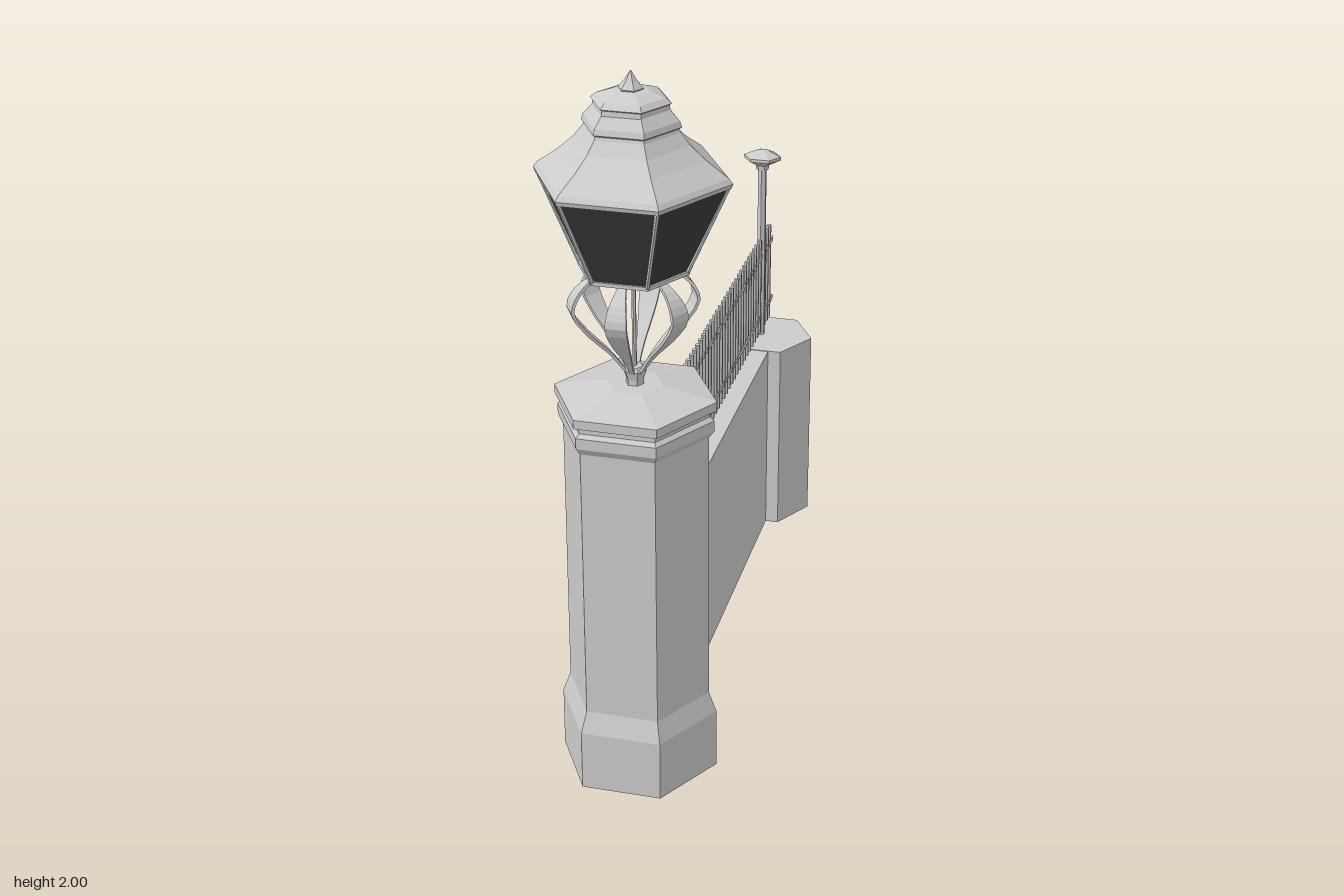
import * as THREE from 'three';

const grey = new THREE.MeshStandardMaterial({ color: 0xcccccc, flatShading: true, side: THREE.DoubleSide });
const glass = new THREE.MeshStandardMaterial({ color: 0x3a3a3a, flatShading: true, side: THREE.DoubleSide });

const PILLAR_Z = 0.71;
const POST_Z = -0.78;

function add(parent, name, geometry, material = grey, x = 0, y = 0, z = 0) {
  const mesh = new THREE.Mesh(geometry, material);
  mesh.name = name;
  mesh.position.set(x, y, z);
  parent.add(mesh);
  return mesh;
}

// Six-sided turned solid with corners on the x axis; profile is [radius, y] from bottom to top
function hexLathe(profile) {
  return new THREE.LatheGeometry(profile.map(([r, y]) => new THREE.Vector2(r, y)), 6, Math.PI / 6, Math.PI * 2);
}

// Straight bar between two points
function bar(parent, name, a, b, radius) {
  const dir = b.clone().sub(a);
  const mesh = add(parent, name, new THREE.CylinderGeometry(radius, radius, dir.length(), 6));
  mesh.position.copy(a).add(b).multiplyScalar(0.5);
  mesh.quaternion.setFromUnitVectors(new THREE.Vector3(0, 1, 0), dir.normalize());
}

// Bowed strap that swells in the middle, bent from a subdivided box
function strapGeometry() {
  const path = new THREE.CatmullRomCurve3([
    [0.022, 1.19], [0.065, 1.25], [0.125, 1.315], [0.165, 1.38], [0.148, 1.425], [0.105, 1.46], [0.05, 1.478],
  ].map(([r, y]) => new THREE.Vector3(0, y, r)));
  const geo = new THREE.BoxGeometry(1, 1, 1, 1, 16, 1);
  const pos = geo.attributes.position;
  for (let i = 0; i < pos.count; i++) {
    const t = pos.getY(i) + 0.5;
    const p = path.getPoint(t);
    const tan = path.getTangent(t);
    const width = 0.012 + 0.044 * Math.sin(Math.PI * t) ** 2;
    const depth = pos.getZ(i) * 0.008;
    pos.setXYZ(i, pos.getX(i) * width, p.y - tan.z * depth, p.z + tan.y * depth);
  }
  geo.computeVertexNormals();
  return geo;
}

function createLantern() {
  const lantern = new THREE.Group();
  lantern.name = 'lantern';

  // Stem and bowed supports
  add(lantern, 'neck', hexLathe([[0, 1.15], [0.024, 1.15], [0.024, 1.17], [0.032, 1.195], [0.022, 1.205], [0, 1.205]]));
  add(lantern, 'stem', new THREE.CylinderGeometry(0.006, 0.006, 0.29, 6), grey, 0, 1.335, 0);
  const strap = strapGeometry();
  for (let i = 0; i < 6; i++) add(lantern, 'support', strap, grey).rotation.y = i * Math.PI / 3;

  // Glazed body with floor and corner bars
  add(lantern, 'floor', hexLathe([[0, 1.474], [0.148, 1.474], [0.148, 1.484], [0, 1.484]]));
  add(lantern, 'glass', hexLathe([[0.141, 1.484], [0.248, 1.718]]), glass);
  for (let i = 0; i < 6; i++) {
    const a = i * Math.PI / 3;
    const corner = (r, y) => new THREE.Vector3(r * Math.cos(a), y, r * Math.sin(a));
    bar(lantern, 'cornerBar', corner(0.142, 1.48), corner(0.247, 1.718), 0.006);
  }

  // Tiered roof with a pointed finial
  add(lantern, 'roof', hexLathe([
    [0, 1.715], [0.254, 1.715], [0.258, 1.727], [0.248, 1.74], [0.19, 1.782], [0.15, 1.818], [0.125, 1.85],
    [0.122, 1.858], [0.129, 1.863], [0.124, 1.878], [0.1, 1.905], [0.098, 1.918],
    [0.104, 1.922], [0.09, 1.935], [0.05, 1.949], [0.026, 1.952],
  ]));
  add(lantern, 'finial', hexLathe([[0.026, 1.945], [0.033, 1.955], [0.018, 1.972], [0, 2.0]]));
  return lantern;
}

function createFence() {
  const fence = new THREE.Group();
  fence.name = 'fence';

  for (const y of [0.695, 0.905]) add(fence, 'rail', new THREE.BoxGeometry(0.012, 0.016, 1.48), grey, 0, y, -0.19);

  // Evenly spaced pickets, leaving room for the tall post
  const picket = new THREE.CylinderGeometry(0.008, 0.008, 0.325, 6);
  for (let i = 0; i <= 40; i++) {
    const z = 0.51 - i * 0.035;
    if (Math.abs(z - POST_Z) > 0.025) add(fence, 'picket', picket, grey, 0, 0.803, z);
  }

  add(fence, 'tallPost', new THREE.CylinderGeometry(0.014, 0.014, 0.6, 6), grey, 0, 0.925, POST_Z);
  const cap = add(fence, 'postCap', hexLathe([
    [0, 1.2], [0.02, 1.2], [0.022, 1.215], [0.06, 1.235], [0.06, 1.245], [0.022, 1.262], [0, 1.268],
  ]), grey, 0, 0, POST_Z);
  cap.scale.z = 0.8;
  return fence;
}

export function createModel() {
  const model = new THREE.Group();
  model.name = 'lampPillarAndWall';

  // Main pillar: plinth, shaft, moulding and sloped cap
  add(model, 'pillar', hexLathe([
    [0, 0], [0.22, 0], [0.22, 0.175], [0.198, 0.235], [0.198, 1.02], [0.212, 1.04], [0.212, 1.07],
    [0.2, 1.08], [0.2, 1.097], [0.219, 1.1], [0.219, 1.125], [0.075, 1.155], [0, 1.155],
  ]), grey, 0, 0, PILLAR_Z);

  const lantern = createLantern();
  lantern.position.z = PILLAR_Z;
  model.add(lantern);

  // Low wall running back to the short end pier
  add(model, 'wall', new THREE.BoxGeometry(0.115, 0.625, 1.4), grey, -0.003, 0.3125, -0.05);
  add(model, 'endPier', hexLathe([[0, 0], [0.15, 0], [0.15, 0.627], [0, 0.627]]), grey, 0.02, 0, POST_Z);

  model.add(createFence());
  return model;
}
